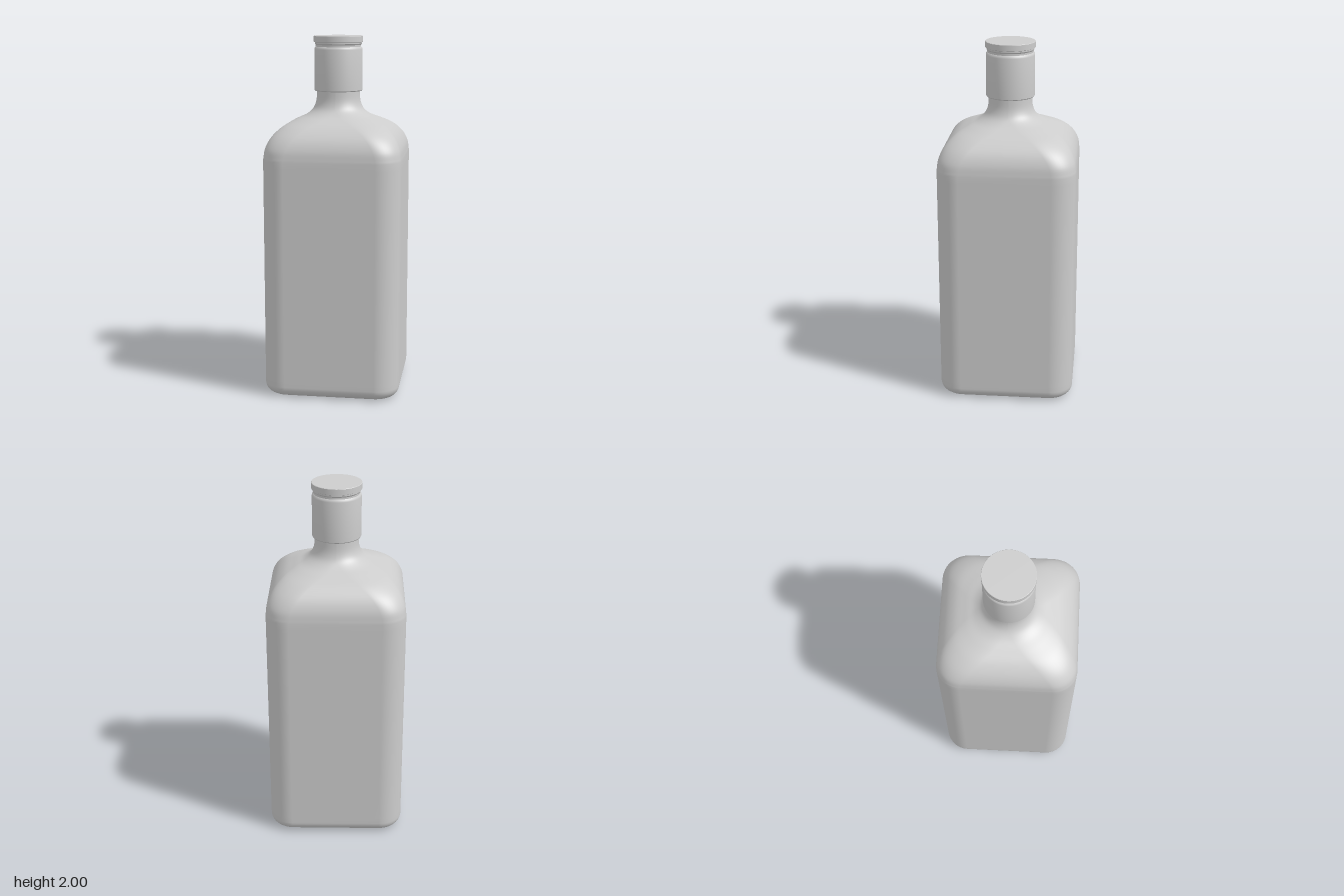
import * as THREE from 'three';
import { toCreasedNormals } from 'three/addons/utils/BufferGeometryUtils.js';

const ARC = 12; // steps per rounded corner

// Rounded-square ring: half width h, corner radius r, height y
function ring(y, h, r) {
  const pts = [];
  for (let k = 0; k < 4; k++) {
    const mid = (k + 0.5) * Math.PI / 2;
    const cx = Math.sign(Math.cos(mid)) * (h - r);
    const cz = Math.sign(Math.sin(mid)) * (h - r);
    for (let i = 0; i <= ARC; i++) {
      const a = (k + i / ARC) * Math.PI / 2;
      pts.push(cx + r * Math.cos(a), y, cz + r * Math.sin(a));
    }
  }
  return pts;
}

// Skin a list of [y, half width, corner radius] sections
function loft(sections) {
  const n = 4 * (ARC + 1);
  const position = sections.flatMap(s => ring(...s));
  const index = [];
  for (let j = 0; j < sections.length - 1; j++) {
    for (let i = 0; i < n; i++) {
      const a = j * n + i, b = j * n + (i + 1) % n;
      index.push(a, a + n, b, b, a + n, b + n);
    }
  }
  const g = new THREE.BufferGeometry();
  g.setAttribute('position', new THREE.Float32BufferAttribute(position, 3));
  g.setIndex(index);
  g.computeVertexNormals();
  return g;
}

export function createModel() {
  const model = new THREE.Group();
  const grey = new THREE.MeshStandardMaterial({ color: 0xcccccc });
  grey.name = 'plain grey';

  // Slightly recessed base and rounded lower edge
  const sections = [[0.02, 0.001, 0.0005], [0.02, 0.22, 0.06], [0.017, 0.26, 0.07], [0.008, 0.3, 0.08]];
  for (let i = 0; i <= 8; i++) {
    const a = i / 8 * Math.PI / 2;
    sections.push([0.006 + 0.06 * (1 - Math.cos(a)), 0.32 + 0.061 * Math.sin(a), 0.08 + 0.05 * Math.sin(a)]);
  }
  sections.push([0.1, 0.381, 0.13], [1.3, 0.381, 0.13]);

  // Shoulder sweeping from the square body into the round neck
  const shoulder = new THREE.CatmullRomCurve3([
    [1.34, 0.381, 0.13], [1.4, 0.372, 0.135], [1.46, 0.343, 0.145], [1.51, 0.293, 0.155],
    [1.545, 0.23, 0.16], [1.57, 0.178, 0.15], [1.6, 0.144, 0.138], [1.64, 0.126, 0.125],
    [1.7, 0.12, 0.12], [1.74, 0.12, 0.12],
  ].map(p => new THREE.Vector3(...p)));
  for (const p of shoulder.getPoints(45)) sections.push([p.x, p.y, Math.min(p.y, p.z)]);

  const bottle = new THREE.Mesh(loft(sections), grey);
  bottle.name = 'bottle';
  model.add(bottle);

  // Turned cap: sleeve, groove and top disc
  const profile = [
    [0.1, 1.695], [0.131, 1.695], [0.135, 1.7], [0.135, 1.925], [0.133, 1.934], [0.127, 1.94],
    [0.127, 1.95], [0.132, 1.957], [0.132, 1.964], [0.138, 1.967], [0.138, 1.998], [0.136, 2], [0, 2],
  ].map(p => new THREE.Vector2(...p));
  const cap = new THREE.Mesh(toCreasedNormals(new THREE.LatheGeometry(profile, 64), 0.6), grey);
  cap.name = 'cap';
  model.add(cap);

  // Settle the base rim on the ground
  bottle.position.y = -0.006;
  return model;
}
